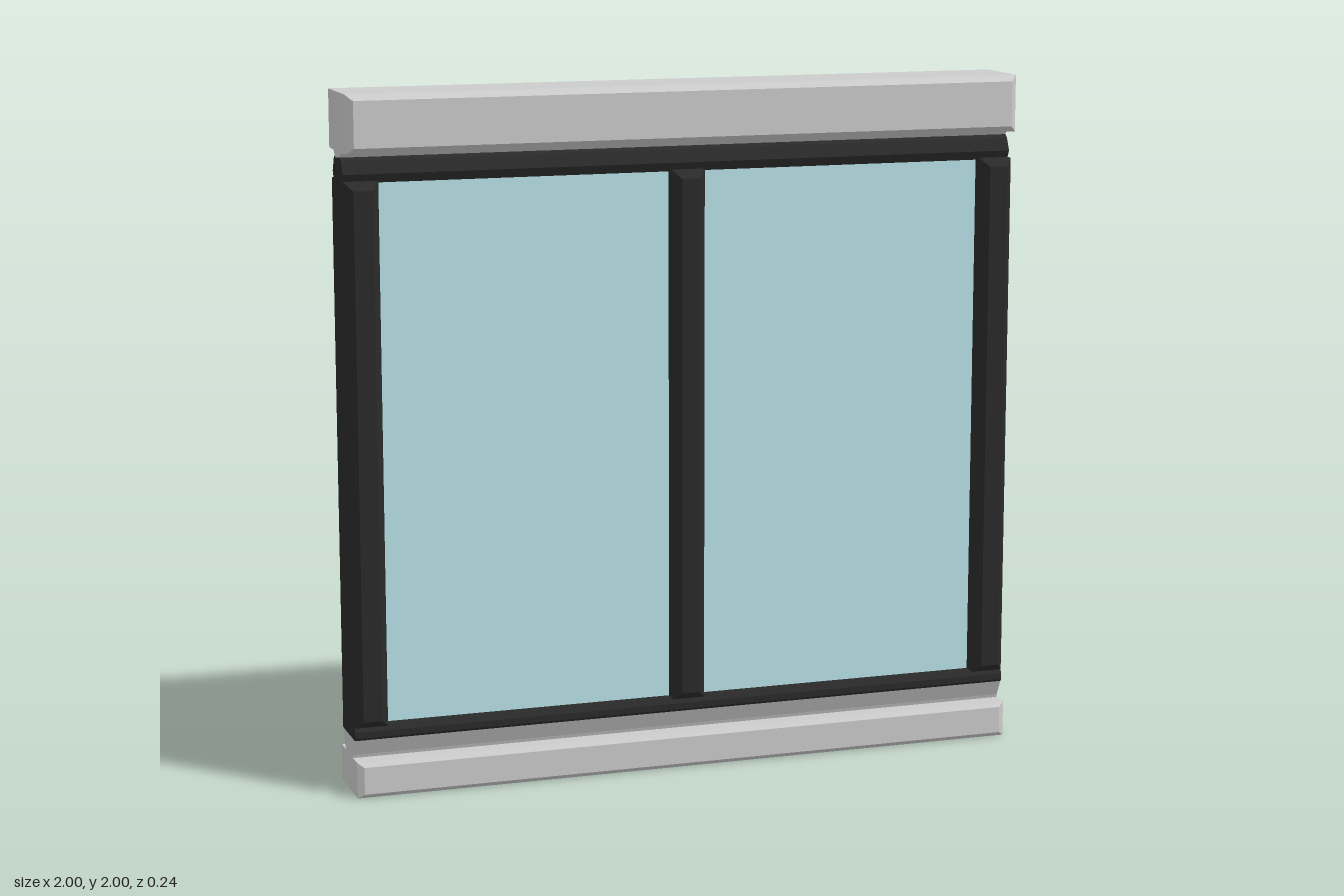
import * as THREE from 'three';

const grey = new THREE.MeshStandardMaterial({ color: 0xcccccc, flatShading: true });
const dark = new THREE.MeshStandardMaterial({ color: 0x2a2a2a, flatShading: true });
const glass = new THREE.MeshStandardMaterial({ color: 0xb9e2e7 });

// Block whose front and back carry a raised panel with chamfered edges
function panelBlock(w, h, coreZ, panelZ, insetX, insetY) {
  const box = new THREE.BoxGeometry(w, h, 2 * panelZ, 1, 1, 3);
  const p = box.attributes.position;
  for (let i = 0; i < p.count; i++) {
    const z = p.getZ(i);
    if (Math.abs(z) > panelZ / 2) {
      p.setX(i, Math.sign(p.getX(i)) * (w / 2 - insetX));
      p.setY(i, Math.sign(p.getY(i)) * (h / 2 - insetY));
    } else {
      p.setZ(i, Math.sign(z) * coreZ);
    }
  }
  const geometry = box.toNonIndexed();
  geometry.computeVertexNormals();
  return geometry;
}

// Full-width bar from a list of [half depth, height], bottom to top
function bar(levels) {
  const right = levels.map(([z, y]) => new THREE.Vector2(z, y));
  const left = levels.map(([z, y]) => new THREE.Vector2(-z, y)).reverse();
  return new THREE.ExtrudeGeometry(new THREE.Shape([...right, ...left]), { depth: 2, bevelEnabled: false })
    .rotateY(Math.PI / 2)
    .translate(-1, 0, 0);
}

export function createModel() {
  const model = new THREE.Group();
  const add = (name, geometry, material, x = 0, y = 0) => {
    const mesh = new THREE.Mesh(geometry, material);
    mesh.name = name;
    mesh.position.set(x, y, 0);
    model.add(mesh);
  };

  // Sill and its flared neck
  add('sill', panelBlock(2, 0.105, 0.097, 0.11, 0.018, 0.013), grey, 0, 0.0525);
  add('sillNeck', bar([[0.045, 0.1], [0.05, 0.115], [0.075, 0.165]]), grey);

  // Header beam and its neck
  add('header', panelBlock(2, 0.165, 0.1, 0.12, 0.02, 0.017), grey, 0, 1.9175);
  add('headerNeck', bar([[0.025, 1.815], [0.05, 1.836]]), grey);

  // Dark rails
  add('bottomRail', bar([[0.075, 0.163], [0.08, 0.17], [0.08, 0.188], [0.07, 0.203]]), dark);
  add('topRail', bar([[0.05, 1.75], [0.062, 1.775], [0.045, 1.812], [0.035, 1.82]]), dark);

  // Side jambs and middle post
  const post = panelBlock(0.097, 1.555, 0.075, 0.1, 0.021, 0.022);
  add('leftJamb', post, dark, 0.9515, 0.9775);
  add('rightJamb', post, dark, -0.9515, 0.9775);
  add('middlePost', post, dark, 0, 0.9775);

  // Panes
  for (const [name, side] of [['leftPane', 1], ['rightPane', -1]]) {
    add(name, new THREE.BoxGeometry(0.858, 1.56, 0.08), glass, side * 0.476, 0.9775);
  }
  return model;
}
